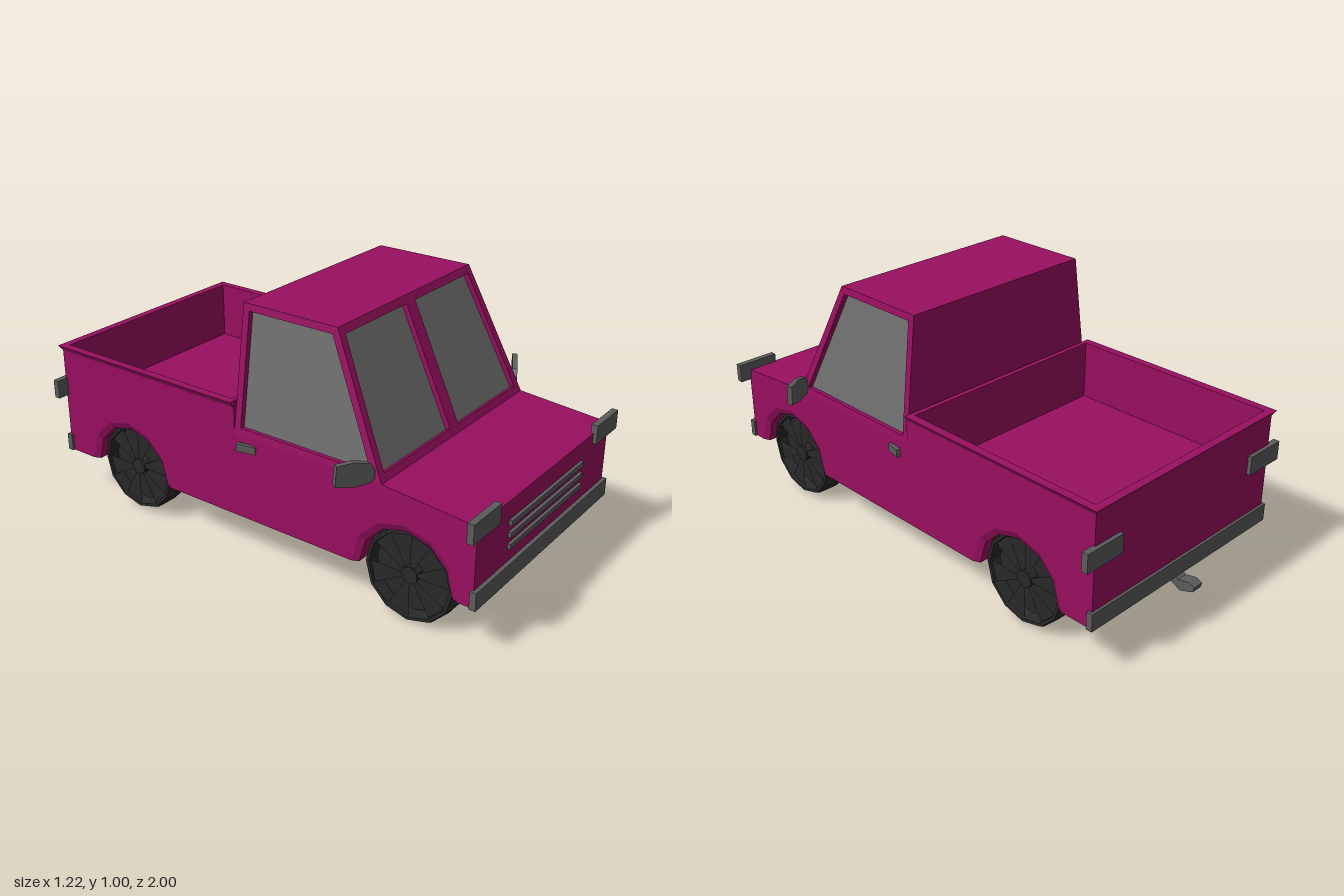
import * as THREE from 'three';

const mat = (color) => new THREE.MeshStandardMaterial({ color, flatShading: true, side: THREE.DoubleSide });
const paint = mat(0x990f60), glass = mat(0x707070), trim = mat(0x5c5c5c), rubber = mat(0x292929);

export function createModel() {
  const model = new THREE.Group();

  const add = (name, geometry, material, parent = model) => {
    const mesh = new THREE.Mesh(geometry, material);
    mesh.name = name;
    parent.add(mesh);
    return mesh;
  };
  const box = (name, x0, x1, y0, y1, z0, z1, material) =>
    add(name, new THREE.BoxGeometry(x1 - x0, y1 - y0, z1 - z0), material)
      .position.set((x0 + x1) / 2, (y0 + y1) / 2, (z0 + z1) / 2);
  const shapeOf = (pts) => new THREE.Shape(pts.map(([a, b]) => new THREE.Vector2(a, b)));
  const extrude = (shape, depth) => new THREE.ExtrudeGeometry(shape, { depth, bevelEnabled: false });

  // Side profile of [z, y] points, extruded from x0 to x1
  const slab = (name, pts, x0, x1, material) =>
    add(name, extrude(shapeOf(pts), x1 - x0).rotateY(-Math.PI / 2).translate(x1, 0, 0), material);

  // Flat panel through 3D corners (counter-clockwise from outside), thickened inward
  const panel = (name, corners, holes, inset, depth, material) => {
    const [a, b, , d] = corners.map((p) => new THREE.Vector3(...p));
    const u = b.clone().sub(a).normalize();
    const n = u.clone().cross(d.clone().sub(a)).normalize();
    const v = n.clone().cross(u);
    const flat = (p) => {
      const q = new THREE.Vector3(...p).sub(a);
      return [q.dot(u), q.dot(v)];
    };
    const shape = shapeOf(corners.map(flat));
    holes.forEach((h) => shape.holes.push(shapeOf(h.map(flat))));
    const g = extrude(shape, depth).translate(0, 0, -inset - depth);
    add(name, g.applyMatrix4(new THREE.Matrix4().makeBasis(u, v, n).setPosition(a)), material);
  };
  const mirrorLoop = (pts) => pts.map(([x, y, z]) => [-x, y, z]).reverse();

  // Lower body with wheel arches
  const floorY = 0.182, bedY = 0.405, rearAxle = -0.58, frontAxle = 0.712;
  const arch = (c, r) => Array.from({ length: 7 }, (_, i) => {
    const t = Math.PI * (1 - i / 6);
    return [c + r * Math.cos(t), floorY + r * Math.sin(t)];
  });
  const bodyProfile = (r) => [
    [-0.925, floorY],
    ...(r ? [...arch(rearAxle, r), ...arch(frontAxle, r)] : []),
    [0.985, floorY], [0.985, 0.49], [0.62, 0.52], [-0.025, 0.52], [-0.025, bedY], [-0.925, bedY],
  ];
  slab('bodyCore', bodyProfile(0), -0.25, 0.25, paint);
  const rIn = 0.188, rOut = 0.215, xIn = 0.468, xOut = 0.48;
  for (const s of [-1, 1]) {
    const between = (a, b) => (s > 0 ? [a, b] : [-b, -a]);
    slab('bodySide', bodyProfile(rIn), ...between(0.25, xIn), paint);
    slab('bodySkin', bodyProfile(rOut), ...between(xIn, xOut), paint);
    // Shallow chamfer round each arch
    for (const c of [rearAxle, frontAxle]) {
      const inner = arch(c, rIn), pos = [], index = [];
      arch(c, rOut).forEach(([z, y], i) => {
        pos.push(s * xOut, y, z, s * xIn, inner[i][1], inner[i][0]);
        if (!i) return;
        const k = 2 * i - 2;
        index.push(...(s > 0 ? [k, k + 2, k + 1, k + 2, k + 3, k + 1] : [k, k + 1, k + 2, k + 2, k + 1, k + 3]));
      });
      const g = new THREE.BufferGeometry();
      g.setAttribute('position', new THREE.Float32BufferAttribute(pos, 3));
      g.setIndex(index);
      g.computeVertexNormals();
      add('archChamfer', g, paint);
    }
  }

  // Cargo bed walls and flared rim
  const bedRing = (x, z0, z1, y0, y1) => {
    const shape = shapeOf([[-x, -z1], [x, -z1], [x, -z0], [-x, -z0]]);
    shape.holes.push(shapeOf([[-0.46, 0.05], [0.46, 0.05], [0.46, 0.905], [-0.46, 0.905]]));
    return extrude(shape, y1 - y0).rotateX(-Math.PI / 2).translate(0, y0, 0);
  };
  add('bedWalls', bedRing(0.48, -0.925, -0.025, bedY, 0.622), paint);
  const rim = bedRing(0.493, -0.937, -0.03, 0.622, 0.643);
  const p = rim.attributes.position;
  for (let i = 0; i < p.count; i++) {
    if (p.getY(i) > 0.63) continue;
    p.setX(i, THREE.MathUtils.clamp(p.getX(i), -0.48, 0.48));
    p.setZ(i, Math.max(p.getZ(i), -0.925));
  }
  rim.computeVertexNormals();
  add('bedRim', rim, paint);

  // Cab: tapered frame panels with recessed glass
  const y0 = 0.52, y1 = 1.005;
  const sideX = (y) => 0.48 - (y - y0) * 0.06 / (y1 - y0);
  const frontZ = (y) => 0.617 - (y - y0) * 0.227 / (y1 - y0);
  const FL = [0.48, y0, 0.617], FR = [-0.48, y0, 0.617], BL = [0.48, y0, -0.025], BR = [-0.48, y0, -0.025];
  const fl = [0.42, y1, 0.39], fr = [-0.42, y1, 0.39], bl = [0.42, y1, -0.015], br = [-0.42, y1, -0.015];
  const onFront = (x, y) => [x, y, frontZ(y)];
  const onSide = (z, y) => [sideX(y), y, z];
  const paneL = [onFront(0.028, 0.547), onFront(0.447, 0.547), onFront(0.393, 0.977), onFront(0.028, 0.977)];
  const paneR = mirrorLoop(paneL);
  const sideL = [onSide(0.572, 0.546), onSide(0.003, 0.546), onSide(0.012, 0.978), onSide(0.375, 0.978)];
  const cabSide = [FL, BL, bl, fl];
  panel('windshieldFrame', [FR, FL, fl, fr], [paneL, paneR], 0, 0.03, paint);
  panel('roof', [fr, fl, bl, br], [], 0, 0.02, paint);
  panel('cabBack', [BL, BR, br, bl], [], 0, 0.02, paint);
  panel('doorFrame', cabSide, [sideL], 0, 0.03, paint);
  panel('doorFrame', mirrorLoop(cabSide), [mirrorLoop(sideL)], 0, 0.03, paint);
  for (const pane of [paneL, paneR]) panel('windshield', pane, [], 0.02, 0.008, glass);
  for (const pane of [sideL, mirrorLoop(sideL)]) panel('sideWindow', pane, [], 0.02, 0.008, glass);

  // Bumpers, grille and hitch
  box('frontBumper', -0.49, 0.49, 0.182, 0.252, 0.975, 1, trim);
  box('rearBumper', -0.49, 0.49, 0.182, 0.252, -0.935, -0.91, trim);
  for (const y of [0.316, 0.361, 0.406]) box('grilleBar', -0.267, 0.267, y - 0.01, y + 0.01, 0.98, 0.997, trim);
  slab('hitch', [[-0.866, 0.183], [-0.9, 0.138], [-0.94, 0.117], [-0.995, 0.137], [-1, 0.157],
    [-0.975, 0.168], [-0.93, 0.158], [-0.89, 0.183]], -0.023, 0.023, trim);

  // Lights, door handles and mirrors
  for (const s of [-1, 1]) {
    const [a, b] = s > 0 ? [0.355, 0.53] : [-0.53, -0.355];
    box('headlight', a, b, 0.45, 0.525, 0.975, 1, trim);
    box('tailLight', a, b, 0.43, 0.505, -0.94, -0.915, trim);

    const handle = add('doorHandle', new THREE.BoxGeometry(0.016, 0.03, 0.075), trim);
    handle.position.set(s * 0.49, 0.48, 0.038);
    handle.rotation.set(0.08, -s * 0.28, 0);

    const outline = [[0, 0.54], [0.012, 0.526], [0.075, 0.52], [0.146, 0.535], [0.14, 0.61],
      [0.078, 0.612], [0.016, 0.597], [0, 0.57]];
    const mirror = add('wingMirror', extrude(shapeOf(outline.map(([x, y]) => [s * x, y])), 0.02), trim);
    mirror.position.set(s * 0.475, 0, 0.577);
    mirror.rotation.y = s * 0.51;
  }

  // Wheels: twelve-sided tyre with deep face, wedge spokes, hub and stub axle
  const tyreProfile = [[0, -0.06], [0.174, -0.06], [0.182, -0.045], [0.182, 0.045], [0.176, 0.06],
    [0.164, 0.06], [0.158, 0.015], [0, 0.015]].map(([r, h]) => new THREE.Vector2(r, h));
  for (const s of [-1, 1]) for (const [z, y] of [[rearAxle, 0.19], [frontAxle, 0.182]]) {
    const wheel = new THREE.Group();
    wheel.name = 'wheel';
    wheel.position.set(s * 0.385, y, z);
    wheel.rotation.z = -s * Math.PI / 2;
    model.add(wheel);
    add('tyre', new THREE.LatheGeometry(tyreProfile, 12), rubber, wheel);
    add('hub', new THREE.CylinderGeometry(0.033, 0.033, 0.04, 12).translate(0, 0.035, 0), rubber, wheel);
    for (let i = 0; i < 6; i++) {
      const spoke = new THREE.CylinderGeometry(0.162, 0.162, 0.035, 1, 1, false, i * Math.PI / 3, Math.PI / 6);
      add('spoke', spoke.translate(0, 0.0325, 0), rubber, wheel);
    }
    const axle = add('axle', new THREE.CylinderGeometry(0.035, 0.035, 0.17, 8), rubber);
    axle.position.set(s * 0.275, 0.2, z);
    axle.rotation.z = s * (Math.PI / 2 - 0.23);
  }
  return model;
}
